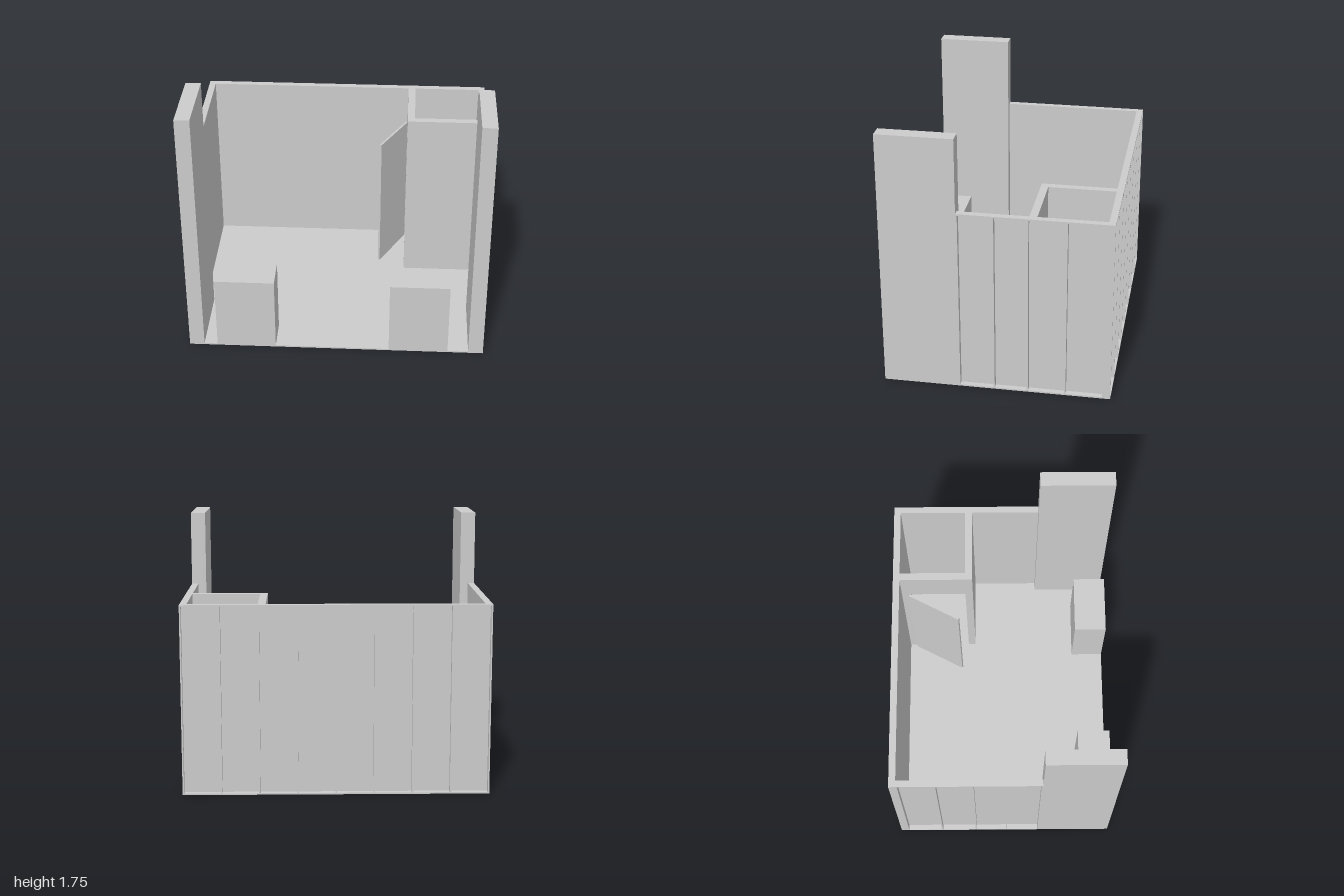
import * as THREE from 'three';

const WALL = 1.25, FLOOR = 0.01, THICK = 0.045, SKIN = 0.008, STUD = 0.01;

export function createModel() {
  const model = new THREE.Group();
  model.name = 'booth';
  const material = new THREE.MeshStandardMaterial({ color: 0xcccccc, flatShading: true });

  // Box given by its extents on each axis
  function box(name, [x0, x1], [y0, y1], [z0, z1], parent = model) {
    const mesh = new THREE.Mesh(new THREE.BoxGeometry(x1 - x0, y1 - y0, z1 - z0), material);
    mesh.position.set((x0 + x1) / 2, (y0 + y1) / 2, (z0 + z1) / 2);
    mesh.name = name;
    parent.add(mesh);
    return mesh;
  }
  function group(name) {
    const g = new THREE.Group();
    g.name = name;
    model.add(g);
    return g;
  }

  box('floor', [-1, 1], [0, FLOOR], [-0.75, 0.75]);

  // Back wall: inner skin, top rail and evenly spaced studs on the outside
  const back = group('backWall');
  const backIn = -0.75 + THICK, body = [FLOOR, WALL - STUD];
  box('backSkin', [-1, 1], body, [backIn - SKIN, backIn], back);
  box('backTopRail', [-1, 1], [WALL - STUD, WALL], [-0.75, backIn], back);
  for (let i = 0; i <= 8; i++) {
    const x = -1 + (i * (2 - STUD)) / 8;
    box('backStud', [x, x + STUD], body, [-0.75, backIn - SKIN], back);
  }

  for (const side of [-1, 1]) {
    const label = side > 0 ? 'left' : 'right';
    const span = (a, b) => (side > 0 ? [a, b] : [-b, -a]);

    // Side wall with studs on the outside
    const wall = group(label + 'Wall');
    const inner = 1 - THICK;
    box('sideSkin', span(inner, inner + SKIN), body, [backIn, 0.25], wall);
    box('sideTopRail', span(inner, 1), [WALL - STUD, WALL], [backIn, 0.25], wall);
    for (const z of [0.24, 0.01, -0.21, -0.457, backIn]) {
      box('sideStud', span(inner + SKIN, 1), body, [z, z + STUD], wall);
    }

    // Tall front pillar
    box(label + 'Pillar', span(0.9, 1), [0, 1.75], [0.25, 0.75]);
  }

  // Front counters
  for (const x of [-0.81, 0.36]) box('counter', [x, x + 0.4], [FLOOR, 0.53], [0.525, 0.75]);

  // Storage closet in the back corner, with a doorway
  const closet = group('closet');
  const shape = new THREE.Shape();
  shape.moveTo(backIn, FLOOR);
  for (const [z, y] of [[-0.65, FLOOR], [-0.65, 1], [-0.262, 1], [-0.262, FLOOR],
    [-0.21, FLOOR], [-0.21, WALL], [backIn, WALL]]) shape.lineTo(z, y);
  shape.closePath();
  const doorWall = new THREE.Mesh(
    new THREE.ExtrudeGeometry(shape, { depth: 0.05, bevelEnabled: false }), material);
  doorWall.name = 'closetDoorWall';
  doorWall.rotation.y = -Math.PI / 2;
  doorWall.position.x = 0.5;
  closet.add(doorWall);
  box('closetFrontWall', [0.5, 1 - THICK], [FLOOR, WALL], [-0.26, -0.21], closet);

  // Door standing ajar, hinged at the back end of the doorway
  const hinge = new THREE.Group();
  hinge.name = 'closetDoor';
  hinge.position.set(0.45, 0, -0.65);
  hinge.rotation.y = -Math.atan2(0.18, 0.345);
  box('doorLeaf', [-0.015, 0], [FLOOR, 1], [0, 0.39], hinge);
  closet.add(hinge);

  return model;
}
